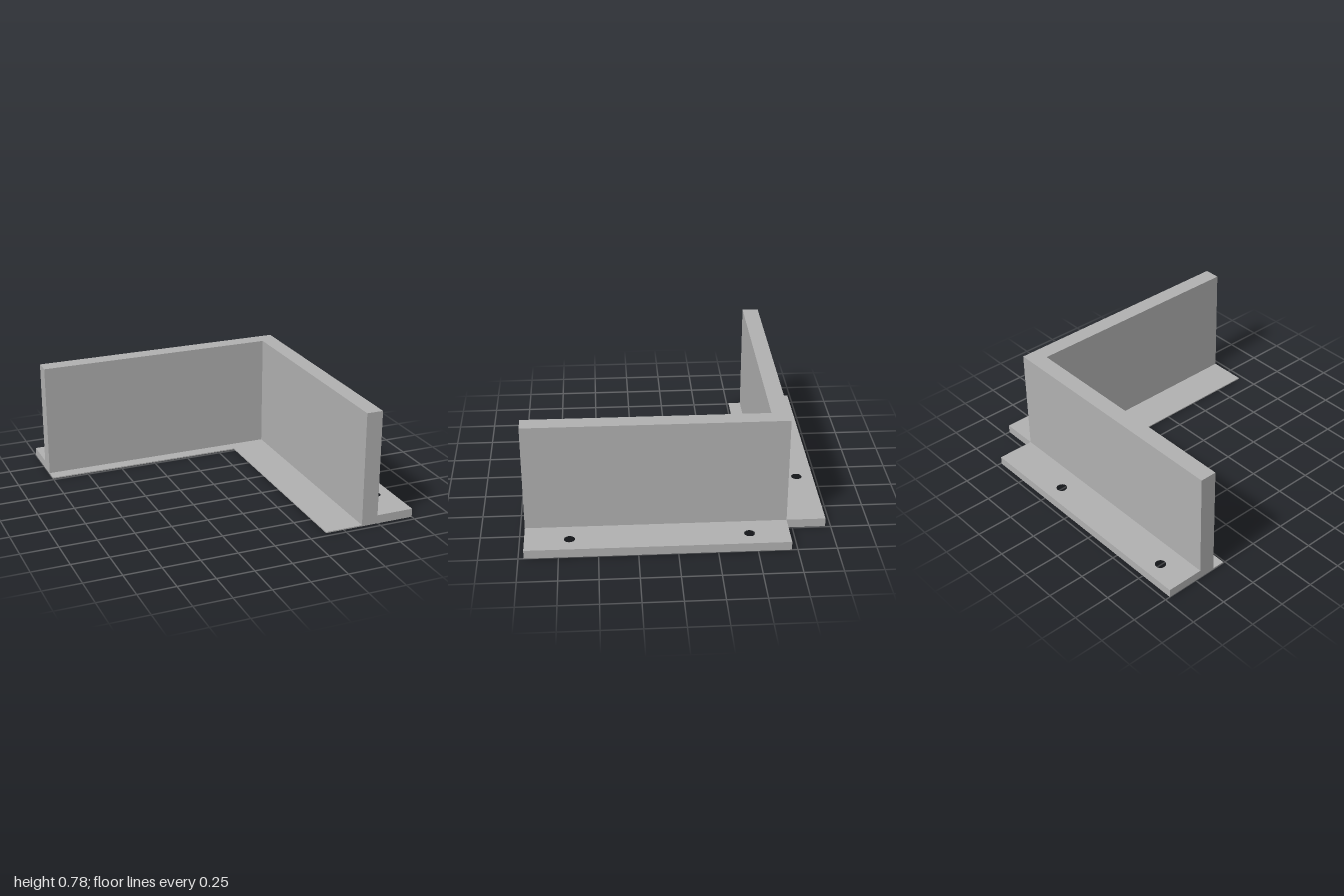
import * as THREE from 'three';

const grey = new THREE.MeshStandardMaterial({ color: 0xb0b0b0 });
grey.name = 'plain grey';

// Extrude a plan outline of [x, z] points up from the ground, with round holes
function plate(name, outline, height, holes = []) {
  const shape = new THREE.Shape(outline.map(([x, z]) => new THREE.Vector2(x, -z)));
  for (const [x, z] of holes) {
    const hole = new THREE.Path();
    hole.absarc(x, -z, 0.035, 0, Math.PI * 2, true);
    shape.holes.push(hole);
  }
  const geometry = new THREE.ExtrudeGeometry(shape, { depth: height, bevelEnabled: false, curveSegments: 32 });
  geometry.rotateX(-Math.PI / 2);
  const mesh = new THREE.Mesh(geometry, grey);
  mesh.name = name;
  return mesh;
}

const rect = (x0, x1, z0, z1) => [[x0, z0], [x1, z0], [x1, z1], [x0, z1]];

// L-shaped band between an outer corner and an inner corner
const band = (xOut, zOut, xIn, zIn, xEnd, zEnd) => [
  [xEnd, zOut], [xOut, zOut], [xOut, zEnd], [xIn, zEnd], [xIn, zIn], [xEnd, zIn],
];

export function createModel() {
  const group = new THREE.Group();
  group.name = 'cornerBracket';
  const xEnd = -1, zEnd = 0.965; // free ends of the two arms
  const xWall = 0.743, zWall = -0.712; // outer wall corner
  const xInner = 0.632, zInner = -0.601; // inner wall corner

  group.add(
    // Upright corner wall
    plate('cornerWall', band(xWall, zWall, xInner, zInner, xEnd, zEnd), 0.78),
    // Thin lip along the inside of the wall
    plate('innerLip', band(xInner, zInner, 0.375, -0.515, xEnd, zEnd), 0.008),
    // Thick drilled flanges outside the wall
    plate('backFlange', rect(xEnd, xWall, -0.965, zWall), 0.058, [[-0.79, -0.855], [0.205, -0.855]]),
    plate('sideFlange', rect(xWall, 1, zWall, zEnd), 0.058, [[0.885, -0.457], [0.885, 0.68]]),
  );
  return group;
}
